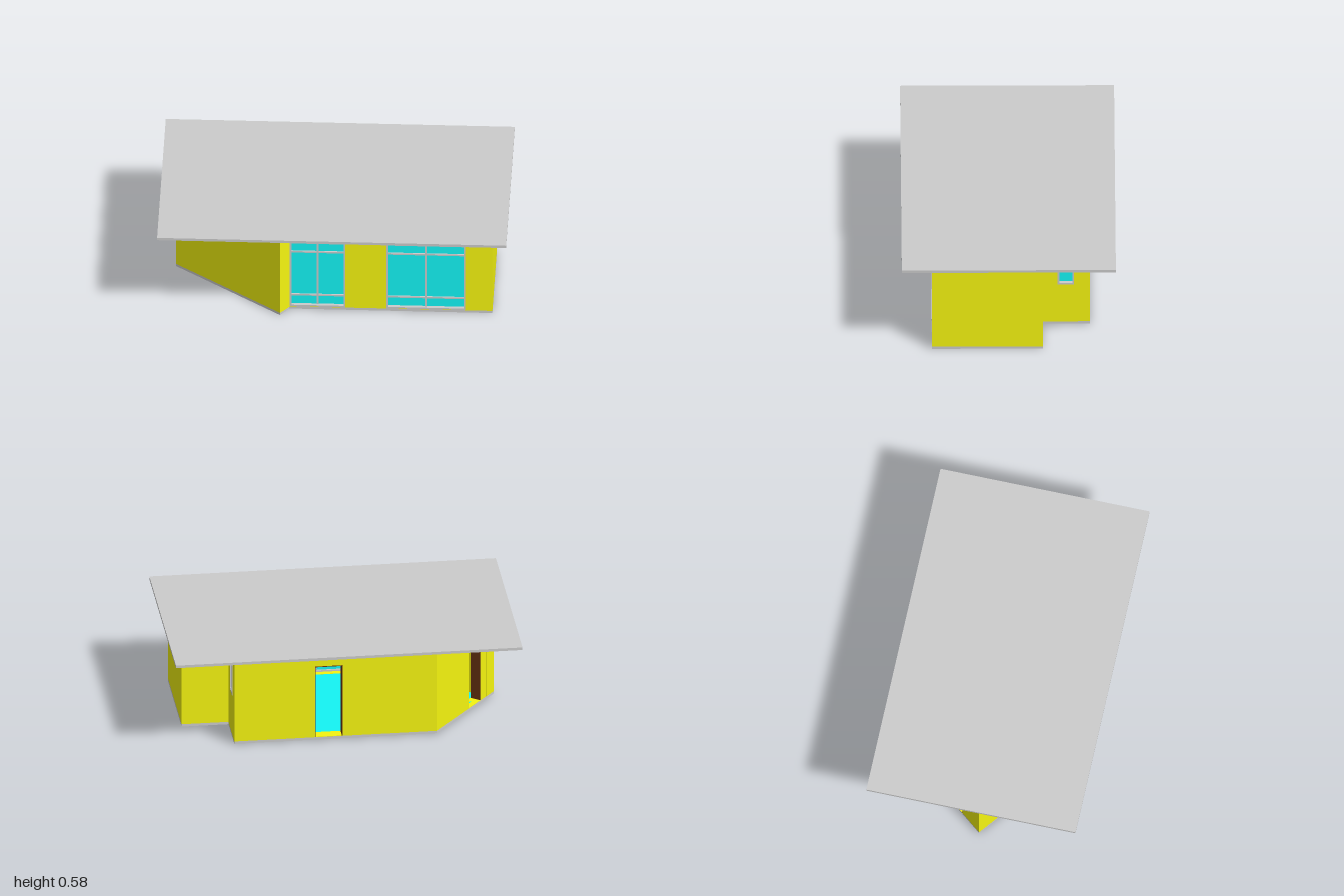
import * as THREE from 'three';

const mat = (color) => new THREE.MeshStandardMaterial({ color, side: THREE.DoubleSide });
const grey = mat(0xcccccc), yellow = mat(0xf5f510), cyan = mat(0x14f5f5), brown = mat(0x6b3413);

const FLOOR = 0.015, TOP = 0.565, T = 0.065;

// plan outline as [x, z]
const plan = [
  [-0.25, 0.44], [0.915, 0.44], [0.915, -0.195], [0.645, -0.195],
  [0.645, -0.465], [-0.523, -0.465], [-0.915, 0.03], [-0.3, 0.51],
];

function add(parent, name, geometry, material, x = 0, y = 0, z = 0) {
  const mesh = new THREE.Mesh(geometry, material);
  mesh.name = name;
  mesh.position.set(x, y, z);
  parent.add(mesh);
  return mesh;
}

// horizontal slab cut to an outline, bottom at y
function slab(parent, name, outline, y, h, material) {
  const shape = new THREE.Shape(outline.map(([x, z]) => new THREE.Vector2(x, -z)));
  const geo = new THREE.ExtrudeGeometry(shape, { depth: h, bevelEnabled: false });
  geo.rotateX(-Math.PI / 2);
  return add(parent, name, geo, material, 0, y, 0);
}

function rectPath(o) {
  return new THREE.Path([[o.u0, o.v0], [o.u0, o.v1], [o.u1, o.v1], [o.u1, o.v0]]
    .map(([u, v]) => new THREE.Vector2(u, v)));
}

// rim of bars around an opening
function rim(parent, name, o, w, depth, z, material, sill) {
  const cu = (o.u0 + o.u1) / 2, cv = (o.v0 + o.v1) / 2, W = o.u1 - o.u0, H = o.v1 - o.v0;
  for (const u of [o.u0 + w / 2, o.u1 - w / 2])
    add(parent, name + 'Side', new THREE.BoxGeometry(w, H, depth), material, u, cv, z);
  add(parent, name + 'Head', new THREE.BoxGeometry(W, w, depth), material, cu, o.v1 - w / 2, z);
  if (sill) add(parent, name + 'Sill', new THREE.BoxGeometry(W, w, depth), material, cu, o.v0 + w / 2, z);
}

function windowUnit(parent, o) {
  const g = new THREE.Group();
  g.name = 'window';
  parent.add(g);
  const cu = (o.u0 + o.u1) / 2, cv = (o.v0 + o.v1) / 2, W = o.u1 - o.u0, H = o.v1 - o.v0;
  rim(g, 'windowFrame', o, 0.01, 0.035, -0.015, grey, true);
  add(g, 'glass', new THREE.BoxGeometry(W - 0.01, H - 0.01, 0.006), cyan, cu, cv, -0.02);
  if (o.bars) {
    add(g, 'mullion', new THREE.BoxGeometry(0.01, H, 0.016), grey, cu, cv, -0.017);
    for (const v of [0.09, 0.385])
      add(g, 'transom', new THREE.BoxGeometry(W, 0.01, 0.016), grey, cu, v, -0.017);
  }
}

// wall from a to b, seen left to right from outside; openings in wall coordinates
function wall(parent, name, a, b, openings = [], t = T, extend = 0) {
  const dx = b[0] - a[0], dz = b[1] - a[1], len = Math.hypot(dx, dz) + extend;
  const g = new THREE.Group();
  g.name = name;
  g.position.set(a[0], 0, a[1]);
  g.rotation.y = Math.atan2(-dz, dx);
  parent.add(g);
  const shape = new THREE.Shape([[0, FLOOR], [len, FLOOR], [len, TOP], [0, TOP]]
    .map(([u, v]) => new THREE.Vector2(u, v)));
  for (const o of openings) shape.holes.push(rectPath(o));
  const geo = new THREE.ExtrudeGeometry(shape, { depth: t, bevelEnabled: false });
  add(g, name + 'Panel', geo, yellow, 0, 0, -t);
  for (const o of openings) {
    if (o.door) rim(g, 'doorLining', o, 0.005, t - 0.002, -t / 2, brown, false);
    else windowUnit(g, o);
  }
}

export function createModel() {
  const house = new THREE.Group();
  house.name = 'house';

  // base, interior floor, ceiling and flat roof
  slab(house, 'baseSlab', plan, 0, FLOOR, grey);
  slab(house, 'interiorFloor', [
    [-0.25, 0.4], [0.88, 0.4], [0.88, -0.16], [0.61, -0.16],
    [0.61, -0.43], [-0.5, -0.43], [-0.875, 0.03], [-0.31, 0.46],
  ], FLOOR, 0.002, cyan);
  slab(house, 'ceiling', [
    [-0.25, 0.4], [0.88, 0.4], [0.88, -0.16], [0.61, -0.16],
    [0.61, -0.41], [-0.89, -0.41], [-0.89, 0.03], [-0.31, 0.46],
  ], TOP - 0.002, 0.003, yellow);
  add(house, 'roof', new THREE.BoxGeometry(2, 0.016, 1.225), grey, 0, TOP + 0.008, 0);

  // outer walls with their windows and doorways
  const openings = {
    0: [
      { u0: 0.003, u1: 0.32, v0: 0.018, v1: 0.46, bars: true },
      { u0: 0.555, u1: 1.01, v0: 0.018, v1: 0.46, bars: true },
    ],
    3: [{ u0: 0.085, u1: 0.18, v0: 0.265, v1: 0.455 }],
    4: [{ u0: 0.465, u1: 0.625, v0: 0.017, v1: 0.46, door: true }],
    5: [{ u0: 0.353, u1: 0.486, v0: 0.017, v1: 0.46, door: true }],
  };
  const names = ['frontWall', 'leftWall', 'recessWall', 'recessSideWall',
    'backWall', 'slantedBackWall', 'slantedFrontWall'];
  names.forEach((name, i) => wall(house, name, plan[i], plan[i + 1], openings[i],
    i === 6 ? 0.086 : T, i === 2 ? T : 0));

  // inner partition beside the back doorway
  add(house, 'partition', new THREE.BoxGeometry(0.03, TOP - FLOOR, 0.45), yellow,
    0.2, (TOP + FLOOR) / 2, -0.18);

  return house;
}
